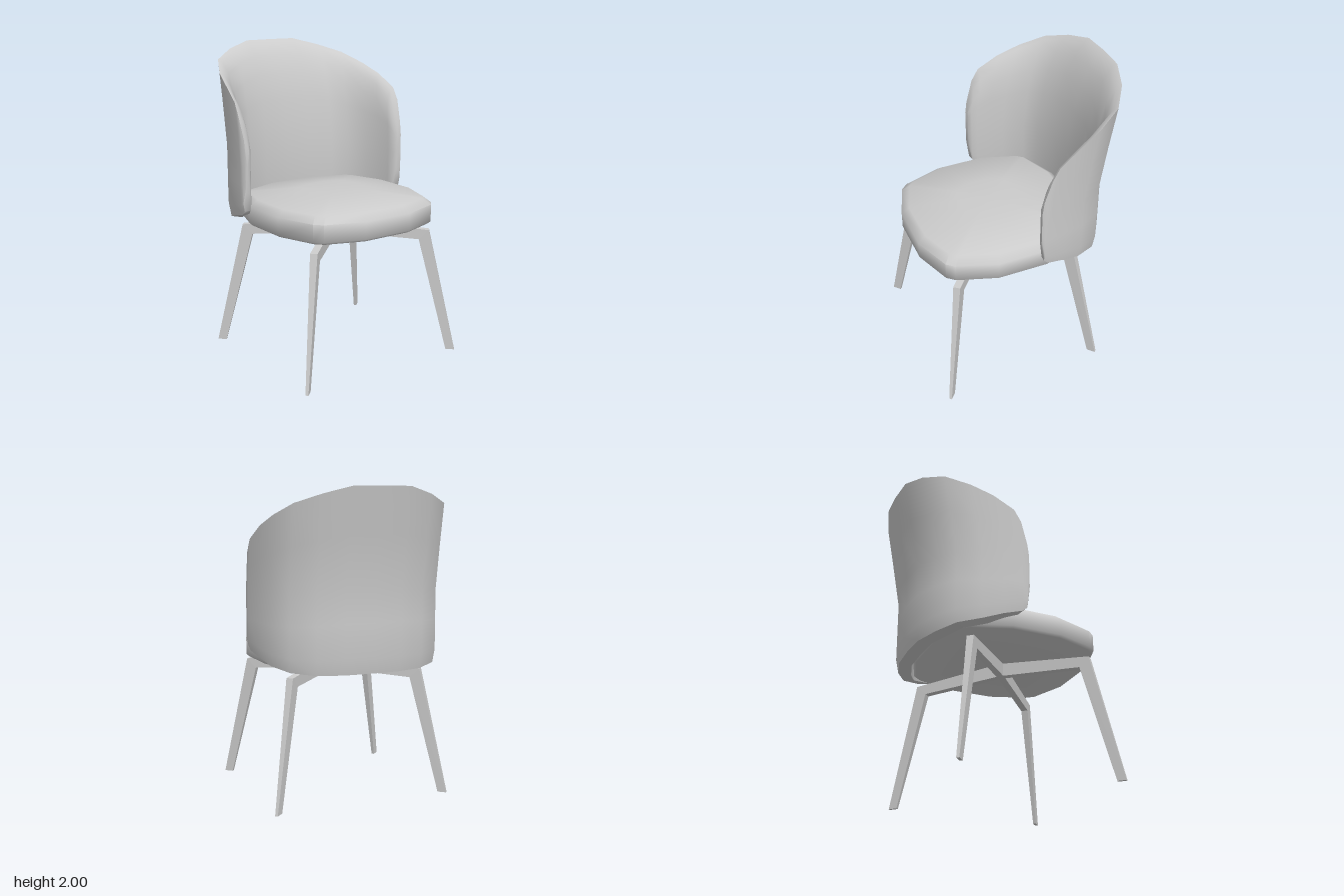
import * as THREE from 'three';
import { toCreasedNormals } from 'three/addons/utils/BufferGeometryUtils.js';

const material = new THREE.MeshStandardMaterial({ color: 0xcccccc });

// Skin a row of closed cross-sections and cap both ends with fans.
function loft(loops, crease) {
  const n = loops[0].length;
  const points = loops.flat();
  const index = [];
  for (let i = 0; i < loops.length - 1; i++) {
    for (let j = 0; j < n; j++) {
      const k = (j + 1) % n;
      const a = i * n + j, b = i * n + k;
      index.push(a, b, b + n, a, b + n, a + n);
    }
  }
  const cap = (loop, start, flip) => {
    const centre = points.length;
    points.push(loop.reduce((sum, p) => sum.add(p), new THREE.Vector3()).divideScalar(n));
    for (let j = 0; j < n; j++) {
      const a = start + j, b = start + (j + 1) % n;
      index.push(centre, flip ? b : a, flip ? a : b);
    }
  };
  cap(loops[0], 0, true);
  cap(loops[loops.length - 1], (loops.length - 1) * n, false);
  const geometry = new THREE.BufferGeometry().setFromPoints(points);
  geometry.setIndex(index);
  return toCreasedNormals(geometry, crease);
}

function addMesh(parent, name, geometry) {
  const mesh = new THREE.Mesh(geometry, material);
  mesh.name = name;
  parent.add(mesh);
  return mesh;
}

const CENTRE_Z = 0.115;

// Cushion: a faceted rounded square, stacked in shrinking rings.
function seatGeometry() {
  const half = [[0.17, 0.55], [0.42, 0.465], [0.465, 0.415], [0.55, 0.165],
    [0.55, -0.165], [0.465, -0.42], [0.43, -0.46], [0.18, -0.55]];
  const outline = [...half, ...half.map(([x, z]) => [-x, z]).reverse()];
  const rings = [[0.97, 0.885], [1, 0.9], [1, 1.01], [0.91, 1.05], [0.36, 1.088]];
  return loft(rings.map(([s, y]) =>
    outline.map(([x, z]) => new THREE.Vector3(x * s, y, z * s + CENTRE_Z))), 1.0);
}

// Wraparound back: vertical sections swept from one arm round to the other.
function backGeometry() {
  // outer x, outer z, inner x, inner z, bottom y, top y
  const half = [
    [0, -0.56, 0, -0.44, 0.86, 2.0],
    [0.185, -0.55, 0.18, -0.435, 0.86, 2.0],
    [0.355, -0.50, 0.335, -0.385, 0.86, 1.955],
    [0.50, -0.41, 0.44, -0.33, 0.875, 1.90],
    [0.575, -0.27, 0.505, -0.20, 0.90, 1.83],
    [0.61, -0.14, 0.545, -0.11, 0.94, 1.765],
    [0.63, -0.02, 0.56, -0.03, 0.97, 1.68],
    [0.632, 0.012, 0.57, 0.005, 1.0, 1.60],
    [0.622, 0.03, 0.588, 0.025, 1.12, 1.45],
  ];
  const mirrored = half.slice(1).reverse().map(([ox, oz, ix, iz, b, t]) => [-ox, oz, -ix, iz, b, t]);
  // share of the thickness (0 outside, 1 inside) and share of the height
  const section = [[0.16, 0.005], [0, 0.09], [0, 0.28], [0, 0.47], [0, 0.75], [0, 1],
    [0.3, 0.98], [0.65, 0.91], [0.92, 0.8], [1, 0.65], [1, 0.4], [1, 0.08], [0.9, 0]];
  const loops = [...mirrored, ...half].map(([ox, oz, ix, iz, bottom, top]) =>
    section.map(([t, v]) => {
      const y = bottom + (top - bottom) * v;
      const lean = Math.max(0, y - 1.39) * 0.18;
      return new THREE.Vector3(ox + (ix - ox) * t, y, oz + (iz - oz) * t - lean);
    }));
  return loft(loops, 0.9);
}

// Bent leg with its spoke, narrowing towards the foot.
function legGeometry() {
  const profile = [[0, 0.8], [0.55, 0.765], [0.747, 0], [0.805, 0], [0.615, 0.828], [0, 0.888]];
  const shape = new THREE.Shape(profile.map(([r, y]) => new THREE.Vector2(r, y)));
  const width = 0.046;
  const geometry = new THREE.ExtrudeGeometry(shape, { depth: width, bevelEnabled: false });
  geometry.translate(0, 0, -width / 2);
  const pos = geometry.attributes.position;
  for (let i = 0; i < pos.count; i++) {
    const taper = 0.4 + 0.6 * Math.min(1, pos.getY(i) / 0.76);
    pos.setZ(i, pos.getZ(i) * taper);
  }
  geometry.computeVertexNormals();
  return geometry;
}

export function createModel() {
  const model = new THREE.Group();
  model.name = 'chair';
  addMesh(model, 'seat', seatGeometry());
  addMesh(model, 'backrest', backGeometry());

  // Four legs meeting under the middle of the seat
  const base = new THREE.Group();
  base.name = 'legBase';
  base.position.z = CENTRE_Z;
  model.add(base);
  const leg = legGeometry();
  for (const [name, sx, sz] of [['frontLeftLeg', 1, 1], ['frontRightLeg', -1, 1],
    ['backLeftLeg', 1, -1], ['backRightLeg', -1, -1]]) {
    addMesh(base, name, leg).rotation.y = Math.atan2(-sz * 0.545, sx * 0.605);
  }
  return model;
}
